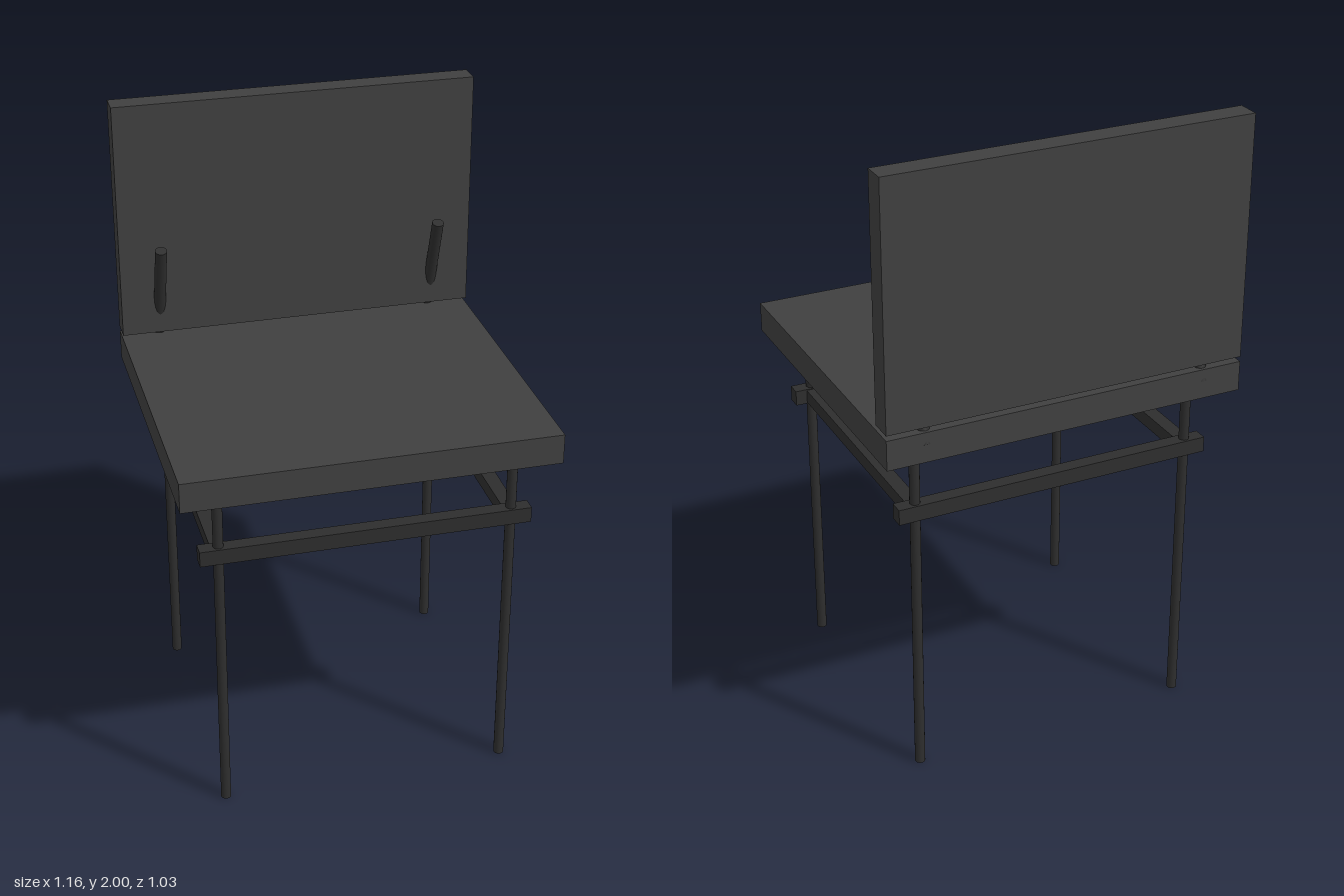
import * as THREE from 'three';

export function createModel() {
  const chair = new THREE.Group();
  chair.name = 'chair';
  const padMat = new THREE.MeshStandardMaterial({ color: 0x404040 });
  const frameMat = new THREE.MeshStandardMaterial({ color: 0x2e2e2e });

  const add = (name, geometry, material, x, y, z) => {
    const mesh = new THREE.Mesh(geometry, material);
    mesh.name = name;
    mesh.position.set(x, y, z);
    chair.add(mesh);
    return mesh;
  };

  // Seat and backrest slabs, with a narrow gap between them
  add('seat', new THREE.BoxGeometry(1.16, 0.096, 1.03), padMat, 0, 1.166, 0);
  add('backrest', new THREE.BoxGeometry(1.16, 0.77, 0.075), padMat, 0, 1.615, -0.4775);

  const legX = 0.455;
  const legZ = { front: 0.422, back: -0.417 };
  const legHeight = 1.13;
  const legGeo = new THREE.CylinderGeometry(0.016, 0.016, legHeight, 16);
  const crossRailGeo = new THREE.BoxGeometry(1.03, 0.05, 0.046);
  const sideRailGeo = new THREE.BoxGeometry(0.046, 0.044, legZ.front - legZ.back);

  // Legs and the front and back rails that overhang them
  for (const [end, z] of Object.entries(legZ)) {
    add(`${end}Rail`, crossRailGeo, frameMat, 0, 0.908, z);
    add(`${end}LegLeft`, legGeo, frameMat, legX, legHeight / 2, z);
    add(`${end}LegRight`, legGeo, frameMat, -legX, legHeight / 2, z);
  }

  // Tilted rods run from inside the seat, through the backrest, to its front
  const rodBottom = new THREE.Vector3(0, 1.17, -0.5);
  const rodTop = new THREE.Vector3(0, 1.54, -0.378);
  const rodAxis = rodTop.clone().sub(rodBottom);
  const rodMid = rodBottom.clone().lerp(rodTop, 0.5);
  const rodGeo = new THREE.CylinderGeometry(0.019, 0.019, rodAxis.length(), 20);

  for (const [side, sign] of [['Left', 1], ['Right', -1]]) {
    add(`sideRail${side}`, sideRailGeo, frameMat, sign * legX, 0.908, (legZ.front + legZ.back) / 2);
    const rod = add(`backRod${side}`, rodGeo, frameMat, sign * legX, rodMid.y, rodMid.z);
    rod.rotation.x = Math.atan2(rodAxis.z, rodAxis.y);
  }

  return chair;
}
